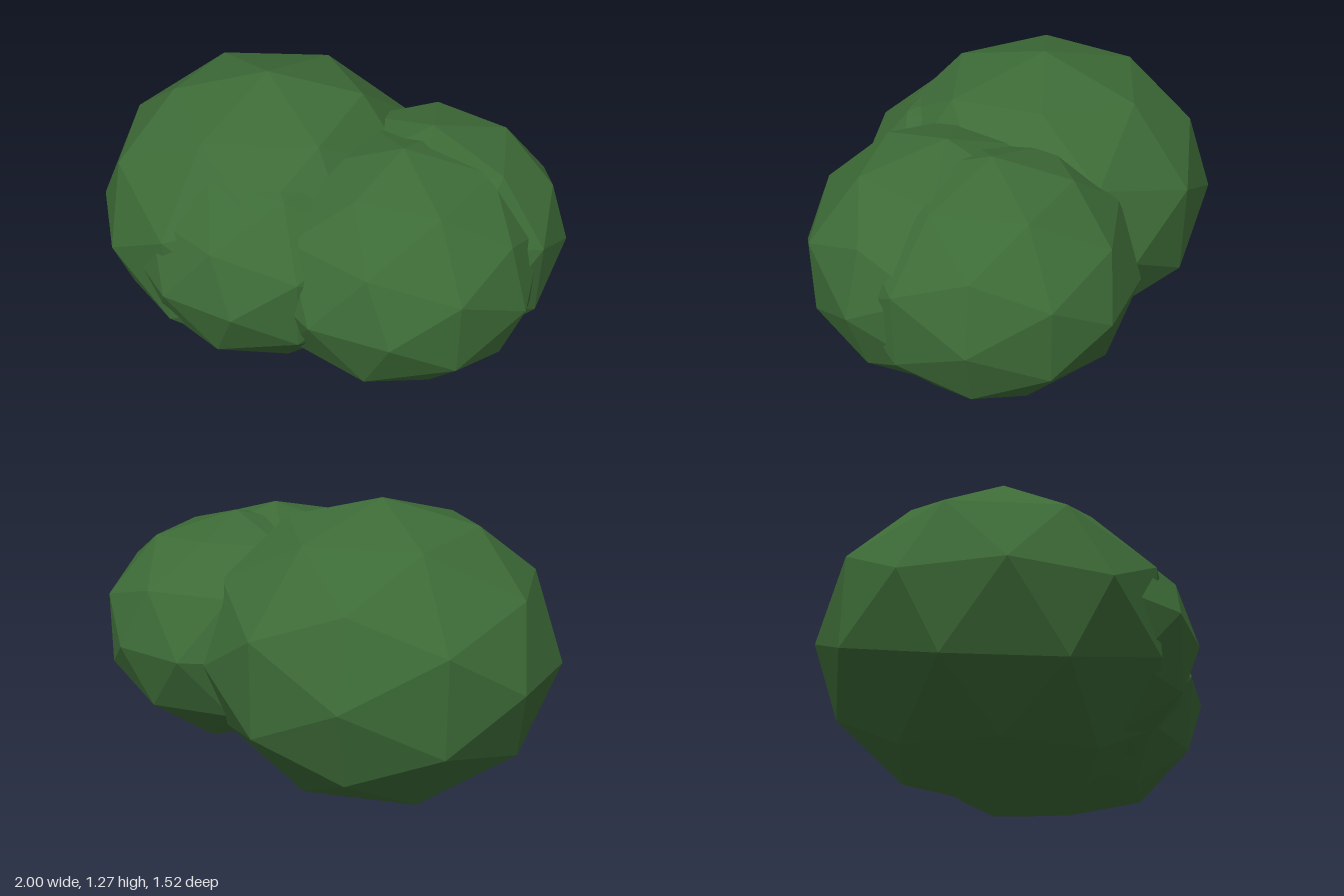
import * as THREE from 'three';

export function createModel() {
  const bush = new THREE.Group();
  bush.name = 'bush';
  const leafGreen = new THREE.MeshStandardMaterial({ color: 0x3d6b37 });
  leafGreen.name = 'leaf green';

  // Each clump is a faceted ball, flattened vertically and turned about y
  const SQUASH = 0.85;
  const clumps = [
    // name, radius, centre, turn
    ['mainClump', 0.745, [-0.28, 0.633, -0.05], 0.3],
    ['frontLeftClump', 0.6, [0.36, 0.635, 0.13], 1.257],
    ['backLeftClump', 0.588, [0.42, 0.64, -0.08], 1.763],
    ['frontRightClump', 0.573, [-0.196, 0.632, 0.192], 1.152],
  ];
  for (const [name, radius, centre, turn] of clumps) {
    const geometry = new THREE.IcosahedronGeometry(radius, 1);
    geometry.scale(1, SQUASH, 1);
    geometry.computeVertexNormals(); // unindexed, so the facets stay flat
    const clump = new THREE.Mesh(geometry, leafGreen);
    clump.name = name;
    clump.position.set(...centre);
    clump.rotation.y = turn;
    bush.add(clump);
  }
  return bush;
}
